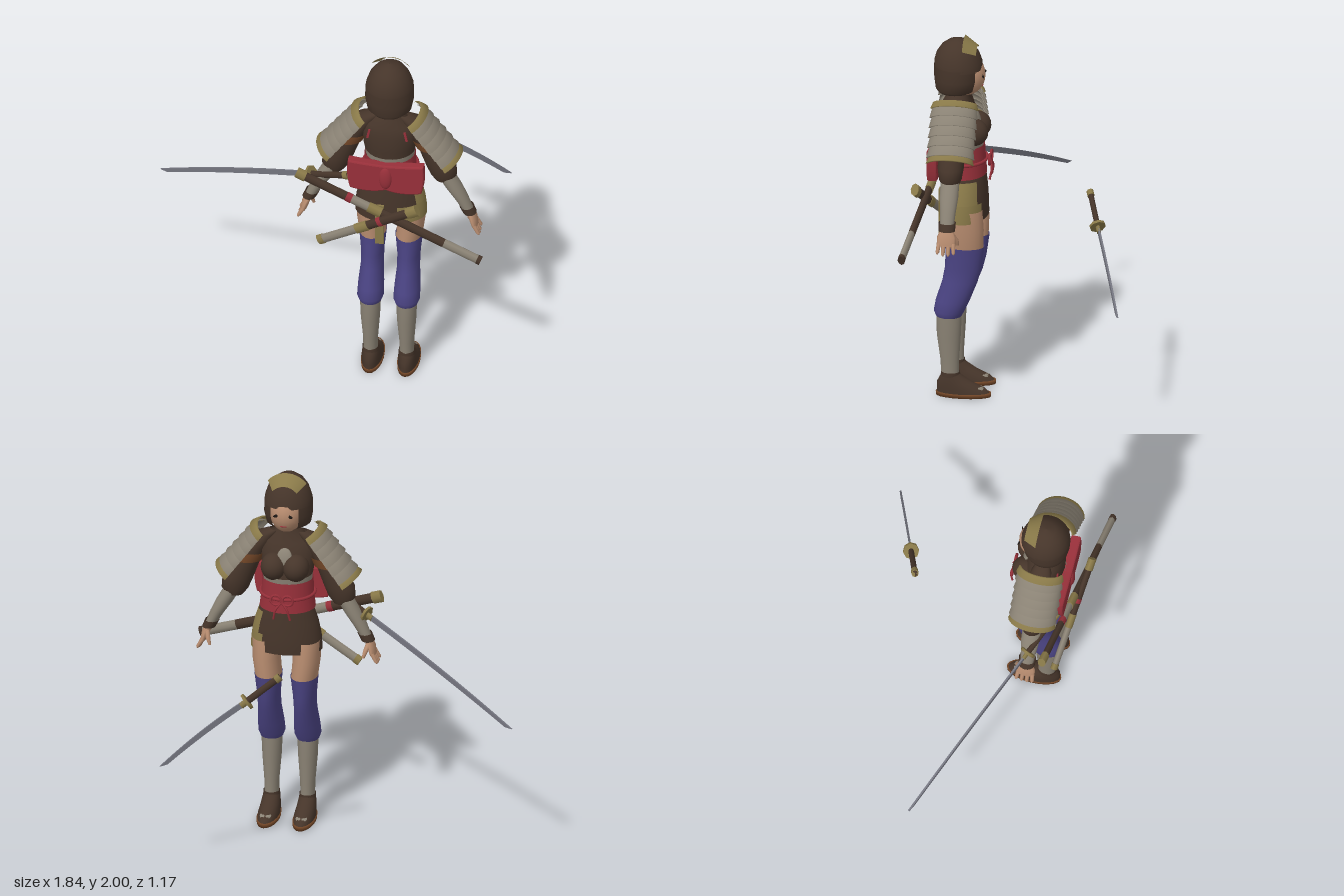
import * as THREE from 'three';

const mat = (name, color) => {
  const m = new THREE.MeshStandardMaterial({ color, side: THREE.DoubleSide });
  m.name = name;
  return m;
};
const brown = mat('darkBrown', 0x46352a), grey = mat('warmGrey', 0x8b8375), khaki = mat('khaki', 0x8a7a49),
  skin = mat('skin', 0xb98d70), blue = mat('indigo', 0x4b4484), red = mat('red', 0x98303a),
  steel = mat('steel', 0x74757f), leather = mat('leather', 0x6f4426), black = mat('black', 0x1d1714);

function add(parent, name, geo, material, x = 0, y = 0, z = 0) {
  const m = new THREE.Mesh(geo, material);
  m.name = name;
  m.position.set(x, y, z);
  parent.add(m);
  return m;
}

// Skin through elliptical rings [y, cx, cz, rx, rz] listed upwards, optionally only part way round
function loft(rings, n = 20, start = 0, len = Math.PI * 2) {
  const closed = len > 6.28, cols = closed ? n : n + 1, pos = [], idx = [];
  for (const [y, cx, cz, rx, rz] of rings)
    for (let j = 0; j < cols; j++) {
      const a = start + len * j / n;
      pos.push(cx + Math.sin(a) * rx, y, cz + Math.cos(a) * rz);
    }
  for (let i = 0; i < rings.length - 1; i++)
    for (let j = 0; j < n; j++) {
      const a = i * cols + j, b = i * cols + (j + 1) % cols;
      idx.push(a, b, b + cols, a, b + cols, a + cols);
    }
  const g = new THREE.BufferGeometry();
  g.setAttribute('position', new THREE.Float32BufferAttribute(pos, 3));
  g.setIndex(idx);
  g.computeVertexNormals();
  return g;
}

const ball = (rx, ry, rz) => new THREE.SphereGeometry(1, 20, 14).scale(rx, ry, rz);
const rod = (r, flat, len) => new THREE.CylinderGeometry(r, r, len, 8).scale(1, 1, flat).rotateZ(-Math.PI / 2);
const tube = (pts, r) => new THREE.TubeGeometry(
  new THREE.CatmullRomCurve3(pts.map(p => new THREE.Vector3(...p))), 20, r, 6);

// Group whose x axis runs from one point to the other
function along(name, from, to) {
  const a = new THREE.Vector3(...from), x = new THREE.Vector3(...to).sub(a), g = new THREE.Group();
  g.name = name;
  const length = x.length();
  x.normalize();
  const z = new THREE.Vector3().crossVectors(x, new THREE.Vector3(0, 1, 0)).normalize();
  const y = new THREE.Vector3().crossVectors(z, x);
  g.quaternion.setFromRotationMatrix(new THREE.Matrix4().makeBasis(x, y, z));
  g.position.copy(a);
  return [g, length];
}

function sword(name, from, to, grip) {
  const [g, L] = along(name, from, to);
  add(g, 'pommel', rod(0.024, 0.8, 0.03), khaki, 0.015);
  add(g, 'grip', rod(0.02, 0.75, grip), brown, grip / 2);
  add(g, 'guard', rod(0.05, 0.85, 0.014), khaki, grip);
  add(g, 'collar', rod(0.019, 0.6, 0.04), khaki, grip + 0.02);
  const s = new THREE.Shape();
  s.moveTo(grip, 0.015);
  s.quadraticCurveTo((grip + L) / 2, 0.035, L, 0);
  s.lineTo(L - 0.04, -0.016);
  s.quadraticCurveTo((grip + L) / 2, 0.002, grip, -0.015);
  add(g, 'blade', new THREE.ExtrudeGeometry(s, { depth: 0.01, bevelEnabled: false, curveSegments: 16 }), steel, 0, 0, -0.005);
  return g;
}

// Scabbard as a run of coloured sections [start, end, material, radius]
function scabbard(name, from, to, sections) {
  const [g, L] = along(name, from, to);
  for (const [a, b, m, r] of sections) add(g, 'section', rod(r, 0.65, (b - a) * L), m, (a + b) / 2 * L);
  return g;
}

function leg(s) {
  const g = new THREE.Group();
  g.name = s > 0 ? 'leftLeg' : 'rightLeg';
  g.position.x = s * 0.097;
  const o = s * 0.012;
  add(g, 'thigh', loft([[0.84, 0, -0.05, 0.07, 0.1], [0.95, o, -0.05, 0.073, 0.103], [1.06, o, -0.045, 0.075, 0.1]]), skin);
  add(g, 'stocking', loft([[0.45, 0, 0.035, 0.06, 0.068], [0.48, 0, 0.033, 0.071, 0.082], [0.54, 0, 0.014, 0.069, 0.09],
    [0.65, 0, -0.025, 0.06, 0.094], [0.73, 0, -0.042, 0.061, 0.097], [0.85, 0, -0.052, 0.073, 0.104]]), blue);
  add(g, 'shinWrap', loft([[0.11, 0, 0.028, 0.038, 0.047], [0.2, 0, 0.03, 0.04, 0.05], [0.34, 0, 0.035, 0.051, 0.064], [0.46, 0, 0.034, 0.056, 0.068]]), grey);
  add(g, 'ankleStrap', loft([[0.11, 0, 0.026, 0.045, 0.052], [0.135, 0, 0.026, 0.043, 0.05]]), brown);
  add(g, 'shoe', loft([[0.02, 0, -0.042, 0.056, 0.142], [0.045, 0, -0.03, 0.055, 0.128], [0.075, 0, 0.003, 0.05, 0.095],
    [0.11, 0, 0.022, 0.045, 0.058], [0.13, 0, 0.026, 0.038, 0.046]]), brown);
  add(g, 'sole', loft([[0, 0, -0.043, 0.001, 0.001], [0, 0, -0.043, 0.058, 0.147], [0.022, 0, -0.043, 0.06, 0.148], [0.022, 0, -0.043, 0.001, 0.001]]), leather);
  add(g, 'toePatch', ball(0.032, 0.01, 0.035), grey, 0, 0.047, -0.125).rotation.x = -0.25;
  return g;
}

// Arm on +x; the other arm is the same turned half round
function arm(s) {
  const g = new THREE.Group();
  g.name = s > 0 ? 'leftArm' : 'rightArm';
  add(g, 'sleeve', loft([[1.265, 0.29, 0, 0.045, 0.045], [1.3, 0.29, 0, 0.072, 0.06], [1.36, 0.275, 0, 0.082, 0.07],
    [1.45, 0.235, 0, 0.075, 0.068], [1.55, 0.18, 0, 0.065, 0.065], [1.63, 0.12, 0, 0.06, 0.055], [1.66, 0.07, 0, 0.03, 0.03]]), brown);
  add(g, 'armStrap', loft([[1.475, 0.222, 0, 0.083, 0.078], [1.525, 0.195, 0, 0.08, 0.076]]), leather);
  add(g, 'forearm', loft([[1.07, 0.425, 0, 0.028, 0.035], [1.15, 0.385, 0, 0.038, 0.042], [1.22, 0.345, 0, 0.046, 0.05], [1.3, 0.3, 0, 0.046, 0.05]]), grey);
  add(g, 'cuff', loft([[1.06, 0.43, 0, 0.036, 0.044], [1.1, 0.412, 0, 0.038, 0.046]]), brown);
  add(g, 'palm', loft([[0.985, 0.458, 0, 0.016, 0.05], [1.03, 0.446, 0, 0.022, 0.05], [1.07, 0.43, 0, 0.02, 0.03]], 12), skin);
  for (let i = 0; i < 4; i++) {
    const z = -0.037 + i * 0.025, tip = 0.93 + Math.abs(i - 1.5) * 0.01;
    add(g, 'finger', loft([[tip, 0.484, z * 1.15, 0.004, 0.004], [tip + 0.01, 0.48, z * 1.13, 0.011, 0.01], [1, 0.455, z, 0.013, 0.012]], 8), skin);
  }
  add(g, 'thumb', loft([[0.975, 0.415, -s * 0.055, 0.008, 0.008], [1.01, 0.425, -s * 0.05, 0.013, 0.013], [1.05, 0.437, -s * 0.025, 0.014, 0.014]], 8), skin);
  // Overlapping shoulder plates, each flaring over the next, with trimmed ends
  const p = new THREE.Group();
  p.name = 'shoulderGuard';
  p.position.set(0.115, 1.645, 0);
  p.rotation.z = 0.63;
  const plate = (name, bottom, top, r, m) => add(p, name, loft([[bottom, 0, 0, r - 0.012, 0.119], [bottom, 0, 0, r + 0.01, 0.13],
    [top, 0, 0, r - 0.008, 0.118], [top, 0, 0, r - 0.018, 0.11]], 14, 0.12, 2.9), m);
  for (let i = 0; i < 5; i++) plate('armourPlate', -0.074 - i * 0.055, -0.012 - i * 0.055, 0.083 + i * 0.002, grey);
  plate('topTrim', -0.024, 0.012, 0.085, khaki);
  plate('bottomTrim', -0.325, -0.29, 0.095, khaki);
  g.add(p);
  if (s < 0) g.rotation.y = Math.PI;
  return g;
}

function head() {
  const g = new THREE.Group();
  g.name = 'head';
  add(g, 'face', ball(0.092, 0.115, 0.105), skin, 0, 1.785, -0.042);
  for (const s of [-1, 1]) add(g, 'eye', ball(0.018, 0.009, 0.004), black, s * 0.036, 1.79, -0.138).rotation.y = s * 0.35;
  add(g, 'mouth', ball(0.018, 0.004, 0.004), red, 0, 1.73, -0.133);
  add(g, 'bobHair', loft([[1.69, 0, 0.015, 0.09, 0.09], [1.71, 0, 0.005, 0.118, 0.112], [1.77, 0, 0, 0.13, 0.125],
    [1.84, 0, 0, 0.128, 0.127]], 24, Math.PI + 0.62, Math.PI * 2 - 1.24), brown);
  add(g, 'crownHair', loft([[1.825, 0, -0.004, 0.128, 0.13], [1.86, 0, -0.002, 0.125, 0.128], [1.91, 0, 0, 0.108, 0.112],
    [1.95, 0, 0, 0.08, 0.085], [1.975, 0, 0, 0.045, 0.05], [1.985, 0, 0, 0.001, 0.001]], 24), brown);
  add(g, 'headband', new THREE.CylinderGeometry(0.133, 0.083, 0.07, 16, 1, true, Math.PI - 0.9, 1.8).rotateX(Math.PI / 2), khaki, 0, 1.864, -0.07);
  return g;
}

function torso() {
  const g = new THREE.Group();
  g.name = 'torso';
  add(g, 'jacket', loft([[1.2, 0, -0.025, 0.13, 0.105], [1.36, 0, -0.015, 0.12, 0.1], [1.46, 0, -0.01, 0.14, 0.11],
    [1.55, 0, 0, 0.15, 0.1], [1.61, 0, 0.005, 0.13, 0.085], [1.65, 0, 0.005, 0.075, 0.065], [1.71, 0, 0, 0.05, 0.05]], 24), brown);
  add(g, 'chestPatch', ball(0.04, 0.05, 0.015), grey, 0, 1.54, -0.104).rotation.x = 0.3;
  for (const s of [-1, 1]) {
    add(g, 'bust', ball(0.07, 0.075, 0.08), brown, s * 0.06, 1.48, -0.09);
    add(g, 'backTie', new THREE.BoxGeometry(0.012, 0.055, 0.008), red, s * 0.1, 1.57, 0.084).rotation.z = s * 0.2;
  }
  add(g, 'underbustBand', loft([[1.39, 0, -0.018, 0.13, 0.118], [1.425, 0, -0.018, 0.134, 0.122]], 24), grey);
  add(g, 'sash', loft([[1.235, 0, -0.025, 0.15, 0.13], [1.31, 0, -0.022, 0.14, 0.127], [1.4, 0, -0.018, 0.136, 0.126]], 24), red);
  // Wide bow behind
  const b = new THREE.Shape();
  b.moveTo(0, 1.395);
  b.quadraticCurveTo(0.12, 1.4, 0.195, 1.41);
  b.quadraticCurveTo(0.205, 1.32, 0.185, 1.25);
  b.quadraticCurveTo(0.08, 1.225, 0, 1.255);
  b.quadraticCurveTo(-0.08, 1.225, -0.185, 1.25);
  b.quadraticCurveTo(-0.205, 1.32, -0.195, 1.41);
  b.quadraticCurveTo(-0.12, 1.4, 0, 1.395);
  add(g, 'backBow', new THREE.ExtrudeGeometry(b, { depth: 0.035, bevelSize: 0.008, bevelThickness: 0.01, bevelSegments: 2 }), red, 0, 0, 0.095);
  add(g, 'bowKnot', ball(0.035, 0.07, 0.02), red, 0, 1.325, 0.135);
  // Cord knot in front
  for (const s of [-1, 1]) {
    add(g, 'cordLoop', new THREE.TorusGeometry(0.028, 0.007, 6, 16), red, s * 0.032, 1.32, -0.175);
    add(g, 'cordTail', tube([[0, 1.31, -0.175], [s * 0.03, 1.27, -0.185], [s * 0.045, 1.21, -0.175]], 0.006), red);
  }
  add(g, 'cord', new THREE.TorusGeometry(0.145, 0.009, 6, 32).rotateX(Math.PI / 2).scale(1, 1, 0.93), red, 0, 1.315, -0.022);
  // Short skirt with a khaki panel wrapped round one side
  const ring = (y, o = 0) => [y, 0, -0.035, 0.19 - Math.pow((y - 1) / 0.24, 2) * 0.05 + o, 0.13 - Math.pow((y - 1) / 0.24, 2) * 0.015 + o];
  add(g, 'skirt', loft([[1.03, 0, -0.035, 0.001, 0.001], ring(1, -0.004), ring(1), ring(1.08), ring(1.16), ring(1.24)], 28), brown);
  add(g, 'skirtPanelLow', loft([ring(1, 0.004), ring(1.05, 0.004), ring(1.1, 0.004)], 20, 0.3, 2.2), khaki);
  add(g, 'skirtPanelHigh', loft([ring(1.1, 0.004), ring(1.16, 0.004), ring(1.22, 0.004)], 16, 0.95, 1.35), khaki);
  add(g, 'hangingTab', new THREE.BoxGeometry(0.048, 0.25, 0.012), khaki, -0.038, 0.99, 0.1);
  return g;
}

export function createModel() {
  const model = new THREE.Group();
  model.name = 'swordswoman';
  const body = new THREE.Group();
  body.name = 'figure';
  body.position.set(0.383, 0, 0.34);
  body.add(head(), torso());
  for (const s of [-1, 1]) body.add(leg(s), arm(s));
  model.add(body);
  // Drawn swords
  model.add(sword('longSword', [0.18, 1.3, 0.45], [-0.915, 0.81, -0.085], 0.26));
  model.add(sword('shortSword', [0.28, 1.115, -0.35], [0.88, 0.64, -0.58], 0.22));
  // Crossed scabbards behind the hips
  model.add(scabbard('longScabbard', [-0.1, 1.275, 0.435], [0.91, 0.915, 0.57], [
    [0, 0.05, khaki, 0.034], [0.05, 0.27, brown, 0.028], [0.27, 0.3, red, 0.03], [0.3, 0.39, grey, 0.028],
    [0.39, 0.46, khaki, 0.033], [0.46, 0.8, brown, 0.028], [0.8, 0.98, grey, 0.028], [0.98, 1, brown, 0.03]]));
  model.add(scabbard('shortScabbard', [0.025, 0.87, 0.47], [0.565, 1.185, 0.545], [
    [0, 0.05, khaki, 0.03], [0.05, 0.38, grey, 0.027], [0.38, 0.5, khaki, 0.031], [0.5, 0.6, brown, 0.027],
    [0.6, 0.64, red, 0.029], [0.64, 0.9, brown, 0.027], [0.9, 1, khaki, 0.034]]));
  return model;
}
